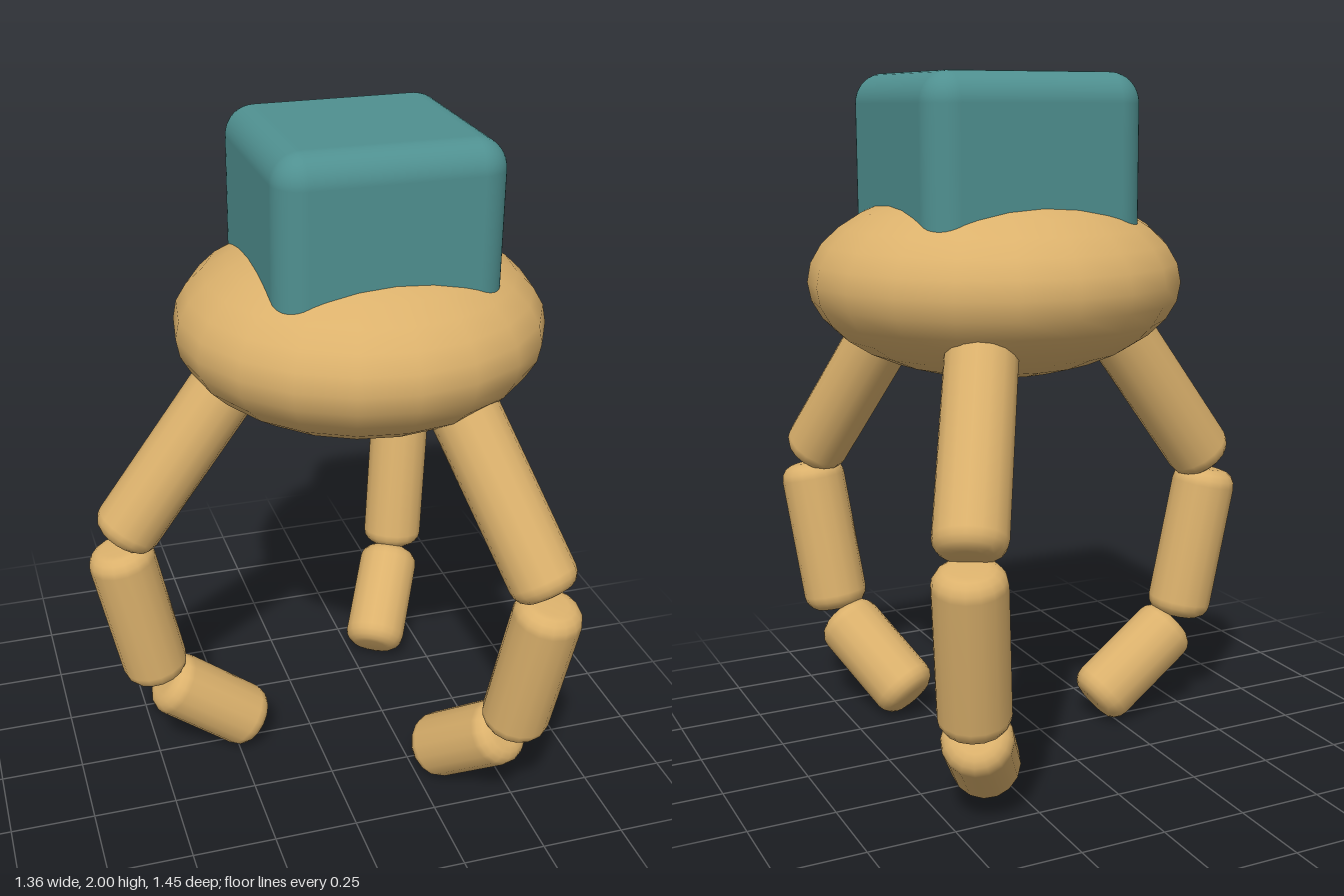
import * as THREE from 'three';
import { RoundedBoxGeometry } from 'three/addons/geometries/RoundedBoxGeometry.js';

const AXIS_X = 0.145;   // vertical axis shared by the hub and fingers
const RADIUS = 0.1;     // finger thickness
const ROUND = 0.05;     // rounding of the finger ends

// Cylinder with rounded rims, centred on the origin along y
function roundedCylinder(length) {
  const h = length / 2 - ROUND, r = RADIUS - ROUND, steps = 4;
  const profile = [new THREE.Vector2(0, -length / 2)];
  for (const side of [-1, 1]) {
    for (let i = 0; i <= steps; i++) {
      const t = (i / steps) * Math.PI / 2;
      const a = side < 0 ? t - Math.PI / 2 : t;
      profile.push(new THREE.Vector2(r + ROUND * Math.cos(a), side * h + ROUND * Math.sin(a)));
    }
  }
  profile.push(new THREE.Vector2(0, length / 2));
  return new THREE.LatheGeometry(profile, 16);
}

// Finger segments in the finger's own plane: [name, centre outward, centre y, lean, length]
const SEGMENTS = [
  ['upperSegment', 0.535, 1.073, 0.63, 0.66],
  ['middleSegment', 0.685, 0.546, -0.21, 0.483],
  ['fingertip', 0.475, 0.175, -0.915, 0.365],
];

export function createModel() {
  const tan = new THREE.MeshStandardMaterial({ color: 0xdbb16c });
  tan.name = 'tan';
  const teal = new THREE.MeshStandardMaterial({ color: 0x4f9090 });
  teal.name = 'teal';

  const model = new THREE.Group();
  model.name = 'gripperClaw';

  // Flattened hub
  const hub = new THREE.Mesh(new THREE.SphereGeometry(0.535, 20, 16), tan);
  hub.name = 'hub';
  hub.scale.y = 0.275 / 0.535;
  hub.position.set(AXIS_X, 1.42, 0);
  model.add(hub);

  // Mounting block sunk into the hub
  const block = new THREE.Mesh(new RoundedBoxGeometry(0.645, 0.6, 0.64, 5, 0.085), teal);
  block.name = 'mountBlock';
  block.position.set(AXIS_X, 1.7, 0);
  model.add(block);

  // Three jointed fingers spaced evenly around the hub
  const geometries = SEGMENTS.map((s) => roundedCylinder(s[4]));
  for (let i = 0; i < 3; i++) {
    const finger = new THREE.Group();
    finger.name = 'finger' + (i + 1);
    finger.position.x = AXIS_X;
    finger.rotation.y = Math.PI + (i * 2 * Math.PI) / 3;
    SEGMENTS.forEach(([name, out, y, lean], k) => {
      const segment = new THREE.Mesh(geometries[k], tan);
      segment.name = name;
      segment.position.set(out, y, 0);
      segment.rotation.z = lean;
      finger.add(segment);
    });
    model.add(finger);
  }
  return model;
}
